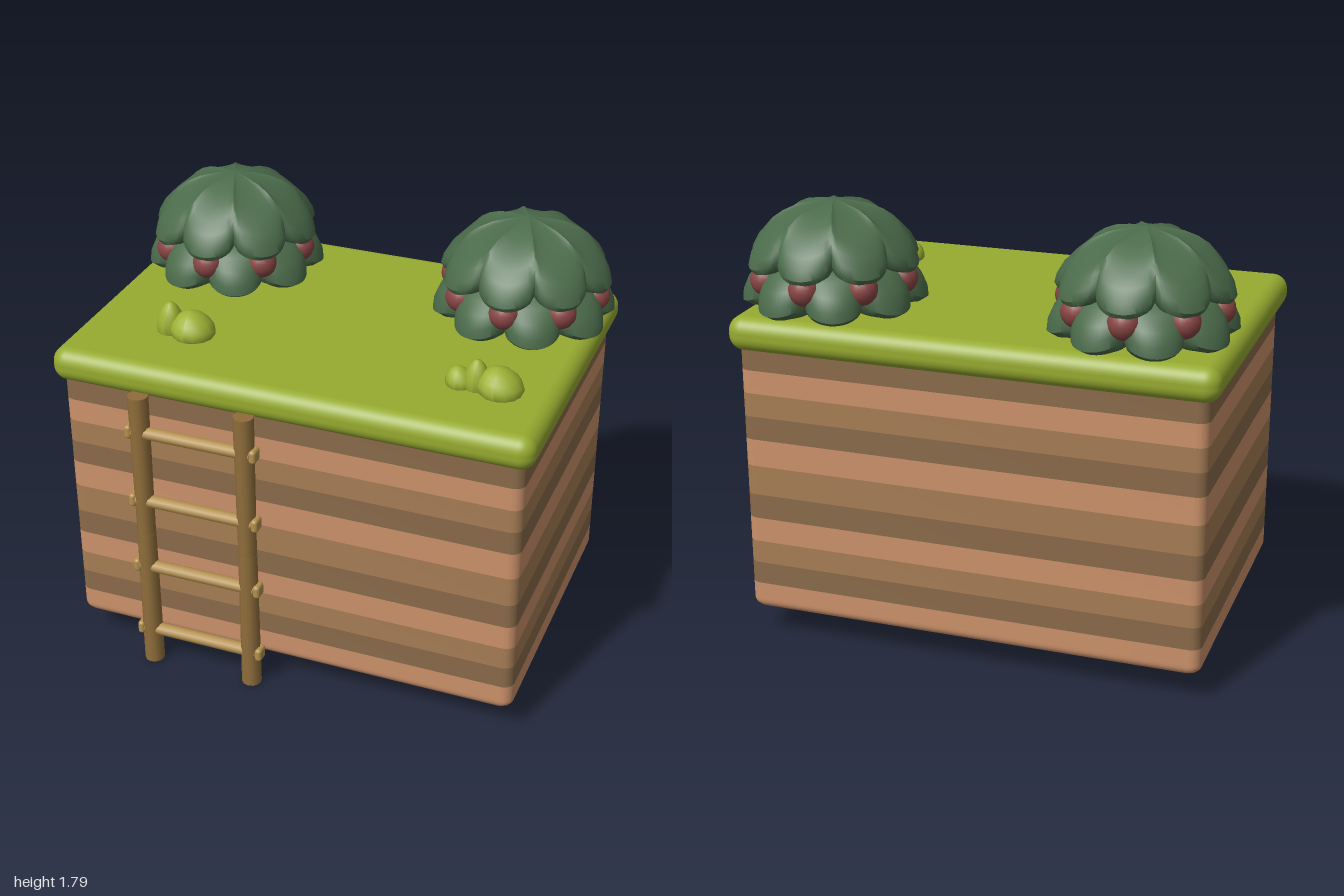
import * as THREE from 'three';
import { toCreasedNormals } from 'three/addons/utils/BufferGeometryUtils.js';
import { RoundedBoxGeometry } from 'three/addons/geometries/RoundedBoxGeometry.js';

const mat = (color) => new THREE.MeshStandardMaterial({ color });
const LIGHT = mat(0xcb916a), MID = mat(0xa67d55), DARK = mat(0x8a6a4a);
const GRASS = mat(0x97ab30), TUFT = mat(0x9db135), LEAF = mat(0x4b6b4b);
const BERRY = mat(0x8a4545), POST = mat(0x8f6d3b), RUNG = mat(0xb3904f);

function add(parent, name, geometry, material, x = 0, y = 0, z = 0) {
  const mesh = new THREE.Mesh(geometry, material);
  mesh.name = name;
  mesh.position.set(x, y, z);
  parent.add(mesh);
  return mesh;
}

// Apply a rule to every vertex of a geometry
function warp(geometry, rule) {
  const p = geometry.attributes.position, v = new THREE.Vector3();
  for (let i = 0; i < p.count; i++) {
    v.fromBufferAttribute(p, i);
    rule(v);
    p.setXYZ(i, v.x, v.y, v.z);
  }
  return geometry;
}

const lathe = (points, segments) =>
  new THREE.LatheGeometry(points.map(([r, y]) => new THREE.Vector2(r, y)), segments);

// Rounded rectangle slab, its base at y = 0
function layer(width, depth, height, radius, steps) {
  const s = new THREE.Shape(), w = width / 2, d = depth / 2, r = radius, q = Math.PI / 2;
  s.absarc(w - r, d - r, r, 0, q);
  s.absarc(-w + r, d - r, r, q, 2 * q);
  s.absarc(-w + r, -d + r, r, 2 * q, 3 * q);
  s.absarc(w - r, -d + r, r, 3 * q, 4 * q);
  return new THREE.ExtrudeGeometry(s, { depth: height, steps, bevelEnabled: false, curveSegments: 5 })
    .rotateX(-Math.PI / 2);
}

// Striped earth block; the lowest stripe has a rounded lower edge
function makeEarth() {
  const g = new THREE.Group();
  g.name = 'earthBlock';
  const levels = [0.12, 0.237, 0.33, 0.425, 0.527, 0.63, 0.753, 0.866, 0.963, 1.06, 1.156, 1.26];
  const order = [LIGHT, DARK, MID];
  for (let i = 0; i < levels.length - 1; i++) {
    const geo = layer(1.88, 1.26, levels[i + 1] - levels[i], 0.045, i === 0 ? 12 : 1);
    if (i === 0) {
      const r = 0.04;
      warp(geo, (v) => {
        const d = Math.max(0, r - v.y), inset = r - Math.sqrt(Math.max(0, r * r - d * d));
        v.x -= Math.sign(v.x) * inset;
        v.z -= Math.sign(v.z) * inset;
      });
      geo.computeVertexNormals();
    }
    const side = order[i % 3];
    add(g, 'earthStripe', toCreasedNormals(geo, 0.8), [i === 0 ? DARK : side, side], -0.02, levels[i], -0.01);
  }
  return g;
}

// Ladder of two-piece posts and capped rungs
function makeLadder() {
  const g = new THREE.Group();
  g.name = 'ladder';
  for (const x of [-0.61, -0.168]) {
    add(g, 'ladderPostLower', new THREE.CylinderGeometry(0.038, 0.041, 0.63, 12), POST, x, 0.315, 0.66);
    add(g, 'ladderPostUpper', new THREE.CylinderGeometry(0.041, 0.037, 0.63, 12), POST, x, 0.945, 0.66);
  }
  for (const y of [0.155, 0.47, 0.785, 1.1]) {
    add(g, 'rung', new THREE.CylinderGeometry(0.027, 0.027, 0.5, 10).rotateZ(Math.PI / 2), RUNG, -0.389, y, 0.664);
    for (const x of [-0.652, -0.126])
      add(g, 'rungEnd', new RoundedBoxGeometry(0.03, 0.058, 0.058, 3, 0.014), RUNG, x, y, 0.664);
  }
  return g;
}

// Ring of overlapping leaves: a lathe whose rim is pulled into lobes
function lobed(profile, rim, lobes, pull, lift) {
  const geo = warp(lathe(profile, lobes * 14), (v) => {
    const r = Math.hypot(v.x, v.z), a = Math.atan2(v.x, v.z);
    const gap = 1 - Math.pow(Math.abs(Math.cos(a * lobes / 2)), 0.6);
    const k = Math.pow(r / rim, 1.5) * gap;
    v.x *= 1 - pull * k;
    v.z *= 1 - pull * k;
    v.y += lift * k;
  });
  geo.computeVertexNormals();
  return toCreasedNormals(geo, 0.75);
}

function makeBush(x, z) {
  const g = new THREE.Group(), lobes = 8;
  g.name = 'berryBush';
  g.position.set(x, 1.375, z);
  add(g, 'upperLeaves', lobed([[0, 0.17], [0.22, 0.17], [0.3, 0.152], [0.335, 0.155], [0.347, 0.175],
    [0.338, 0.21], [0.31, 0.258], [0.265, 0.305], [0.21, 0.345], [0.15, 0.378], [0.08, 0.402],
    [0.03, 0.414], [0, 0.416]], 0.347, lobes, 0.16, 0.06), LEAF);
  const skirt = add(g, 'lowerLeaves', lobed([[0, -0.005], [0.27, -0.005], [0.335, 0.002], [0.366, 0.02],
    [0.362, 0.06], [0.34, 0.11], [0.3, 0.16], [0.24, 0.2], [0, 0.22]], 0.366, lobes, 0.22, 0.05), LEAF);
  skirt.rotation.y = Math.PI / lobes;
  for (let i = 0; i < lobes; i++) {
    const a = i * 2 * Math.PI / lobes;
    add(g, 'berry', new THREE.SphereGeometry(0.063, 16, 12), BERRY, Math.sin(a) * 0.285, 0.125, Math.cos(a) * 0.285);
  }
  return g;
}

// Plump pointed leaf leaning sideways
function tuftLeaf(parent, x, radius, height, lean) {
  const profile = [[0.85, -0.1], [1, 0.12], [0.97, 0.35], [0.83, 0.6], [0.58, 0.82], [0.28, 0.96], [0, 1]];
  const geo = warp(lathe(profile.map(([r, y]) => [r * radius, y * height]), 14), (v) => {
    v.x += lean * v.y / height;
  });
  geo.computeVertexNormals();
  add(parent, 'tuftLeaf', geo, TUFT, x, 1.375, 0.325);
}

export function createModel() {
  const model = new THREE.Group();
  model.name = 'gardenPlatform';
  model.add(makeEarth(), makeLadder());
  add(model, 'grassTop', new RoundedBoxGeometry(1.955, 0.14, 1.33, 5, 0.062), GRASS, -0.0225, 1.305, -0.015);
  for (const x of [-0.63, 0.63]) model.add(makeBush(x, -0.335));

  // Grass tufts
  const tufts = new THREE.Group();
  tufts.name = 'grassTufts';
  tuftLeaf(tufts, -0.525, 0.09, 0.1, -0.01);
  tuftLeaf(tufts, -0.625, 0.055, 0.125, 0.005);
  tuftLeaf(tufts, 0.735, 0.09, 0.1, -0.015);
  tuftLeaf(tufts, 0.64, 0.05, 0.118, 0);
  tuftLeaf(tufts, 0.575, 0.055, 0.075, -0.01);
  model.add(tufts);
  return model;
}
